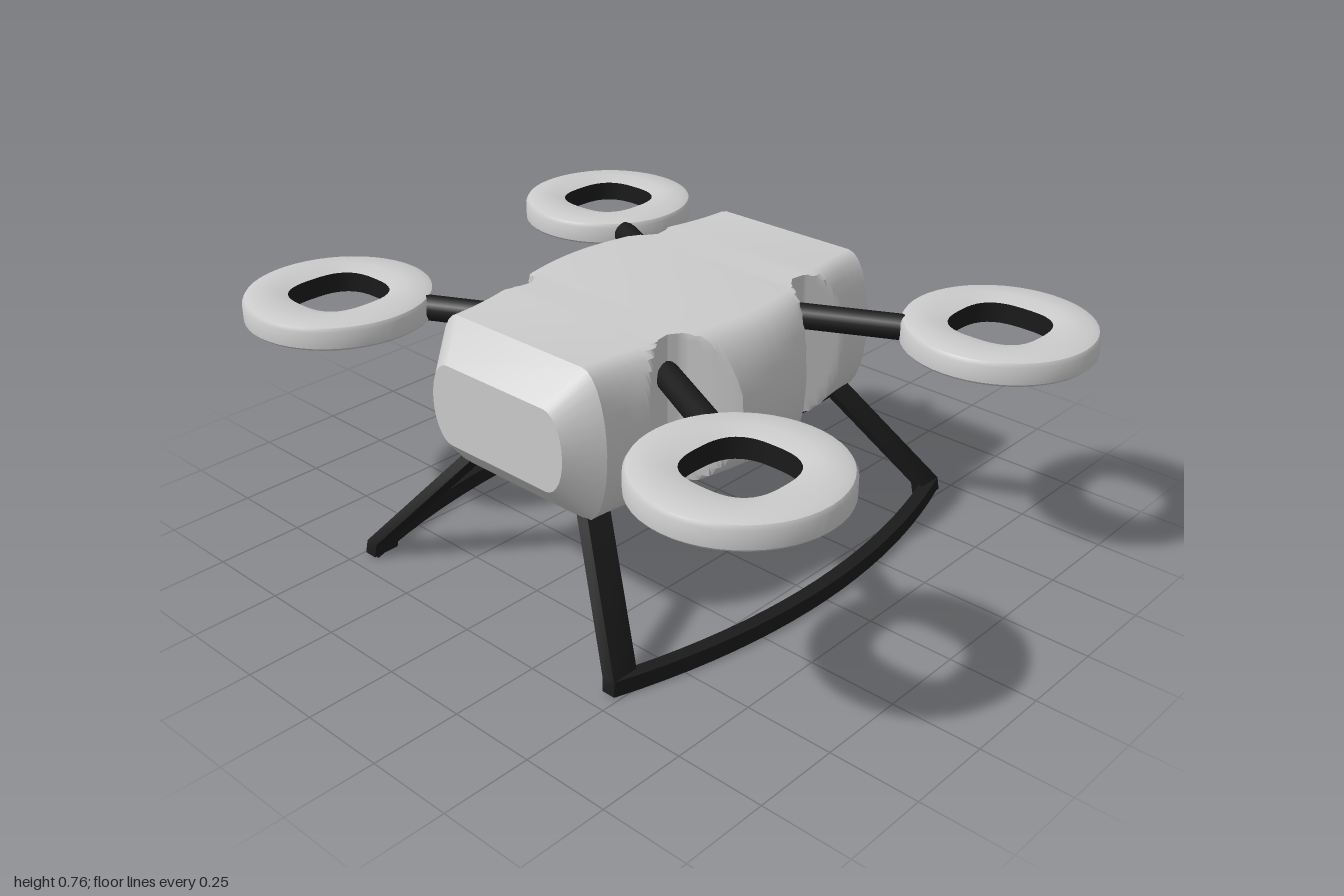
import * as THREE from 'three';
import { toCreasedNormals } from 'three/addons/utils/BufferGeometryUtils.js';

const mat = (color) => new THREE.MeshStandardMaterial({ color, side: THREE.DoubleSide });
const grey = mat(0xcccccc), black = mat(0x1a1a1a), red = mat(0xb5121b);

// Skin a list of cross-sections (each a list of Vector3, counter-clockwise seen from the last one)
function loft(rings, caps = true, crease = 0.6) {
  const pos = [], tri = (...p) => p.forEach((v) => pos.push(v.x, v.y, v.z));
  const n = rings[0].length;
  for (let i = 0; i < rings.length - 1; i++) {
    for (let j = 0; j < n; j++) {
      const k = (j + 1) % n, a = rings[i], b = rings[i + 1];
      tri(a[j], a[k], b[k]);
      tri(a[j], b[k], b[j]);
    }
  }
  if (caps) {
    [rings[0], rings[rings.length - 1]].forEach((r, end) => {
      const c = r.reduce((s, p) => s.add(p), new THREE.Vector3()).divideScalar(n);
      for (let j = 0; j < n; j++) {
        const k = (j + 1) % n;
        if (end) tri(c, r[j], r[k]); else tri(c, r[k], r[j]);
      }
    });
  }
  const g = new THREE.BufferGeometry();
  g.setAttribute('position', new THREE.Float32BufferAttribute(pos, 3));
  return toCreasedNormals(g, crease);
}

const V = (x, y, z) => new THREE.Vector3(x, y, z);

// Horizontal oval at height y
function oval(y, z0, z1, hx, n = 36) {
  return Array.from({ length: n }, (_, i) => {
    const a = (i / n) * Math.PI * 2;
    return V(hx * Math.cos(a), y, (z0 + z1) / 2 - ((z1 - z0) / 2) * Math.sin(a));
  });
}

// Piecewise linear lookup in [[x, y], ...]
function lerpTable(t, x) {
  for (let i = 1; i < t.length; i++) {
    if (x <= t[i][0]) {
      const f = (x - t[i - 1][0]) / (t[i][0] - t[i - 1][0]);
      return t[i - 1][1] + f * (t[i][1] - t[i - 1][1]);
    }
  }
  return 9;
}

// Fuselage: barrel section, pinched where the arms leave it
const WAIST = [[0.12, 0.42], [0.17, 0.35], [0.22, 0.27], [0.25, 0.25], [0.29, 0.255], [0.35, 0.295], [0.41, 0.335]];
function bodySection(z, kx = 1, ky = 1) {
  const az = Math.min(Math.abs(z), 0.53), N = 14, right = [];
  const W = 0.31 + 0.055 * (Math.cos((Math.PI * az) / 0.53) + 1);
  const cut = az > 0.12 ? lerpTable(WAIST, az) : 9;
  for (let j = 0; j <= N; j++) {
    const u = -Math.cos((Math.PI * j) / N);
    const w = Math.min(W * (0.74 + 0.26 * Math.sqrt(Math.max(0, 1 - u * u))), cut);
    right.push(V(w * kx, 0.545 + 0.213 * u * ky, z));
  }
  return [...right, ...right.map((p) => V(-p.x, p.y, p.z)).reverse()];
}
function bodyGeometry() {
  const rings = [bodySection(-0.61, 0.78, 0.54)];
  for (let i = -53; i <= 53; i++) rings.push(bodySection(i / 100));
  rings.push(bodySection(0.617, 0.78, 0.54));
  return loft(rings, true, 0.5);
}

// Rotor guard: round outside, rounded-square hole
function guardRing(t, y) {
  return Array.from({ length: 48 }, (_, i) => {
    const a = (i / 48) * Math.PI * 2, c = Math.cos(a), s = Math.sin(a);
    const inner = 0.127 / Math.pow(Math.abs(c) ** 2.8 + Math.abs(s) ** 2.8, 1 / 2.8);
    const r = inner + (0.265 - inner) * t;
    return V(r * c, y, -r * s);
  });
}

export function createModel() {
  const model = new THREE.Group();
  const add = (name, geo, m, parent = model) => {
    const mesh = new THREE.Mesh(geo, m);
    mesh.name = name;
    parent.add(mesh);
    return mesh;
  };
  // Cylinder along z from z0 (radius r0) to z1 (radius r1)
  const rod = (name, m, x, y, z0, z1, r0, r1 = r0, n = 20) => {
    const g = new THREE.CylinderGeometry(r1, r0, Math.abs(z1 - z0), n);
    g.rotateX(z1 > z0 ? Math.PI / 2 : -Math.PI / 2);
    const mesh = add(name, g, m);
    mesh.position.set(x, y, (z0 + z1) / 2);
    return mesh;
  };

  add('body', bodyGeometry(), grey);

  // Rotor guards and arms
  const shell = [[0, 0.622], [0.95, 0.618], [1, 0.625], [1, 0.672], [0.95, 0.683], [0.8, 0.69], [0.35, 0.692], [0, 0.68]];
  const guardGeo = loft(shell.map(([t, y]) => guardRing(t, y)), false);
  const liningGeo = loft([guardRing(0, 0.68), guardRing(0, 0.622)], false);
  for (const sx of [1, -1]) {
    for (const sz of [1, -1]) {
      const rotor = new THREE.Group();
      rotor.name = 'rotorGuard';
      rotor.position.set(sx * 0.735, 0, sz * 0.535);
      add('guardShell', guardGeo, grey, rotor);
      add('guardLining', liningGeo, black, rotor);
      model.add(rotor);
      const path = new THREE.LineCurve3(V(sx * 0.2, 0.65, sz * 0.23), V(sx * 0.525, 0.65, sz * 0.395));
      add('arm', new THREE.TubeGeometry(path, 1, 0.036, 14), black);
    }
  }

  // Landing gear: bowed skids and slanted struts
  for (const sx of [1, -1]) {
    const skid = [];
    for (let i = -10; i <= 10; i++) {
      const z = i * 0.069, x = sx * (0.585 - 0.118 * (i / 10) ** 2);
      skid.push([V(x - 0.02, 0, z), V(x + 0.02, 0, z), V(x + 0.02, 0.045, z), V(x - 0.02, 0.045, z)]);
    }
    add('skid', loft(skid), black);
    for (const sz of [1, -1]) {
      const rect = (x, y, z) => [V(x - 0.02, y, z + 0.04), V(x + 0.02, y, z + 0.04), V(x + 0.02, y, z - 0.04), V(x - 0.02, y, z - 0.04)];
      add('strut', loft([rect(sx * 0.47, 0.005, sz * 0.66), rect(sx * 0.465, 0.045, sz * 0.655), rect(sx * 0.22, 0.345, sz * 0.495)]), black);
    }
  }

  // Belly plate and turret dome
  add('bellyPlate', loft([oval(0.288, -0.34, 0.36, 0.15), oval(0.335, -0.34, 0.36, 0.15)]), grey);
  add('turretDome', loft([
    oval(0.234, -0.12, 0.16, 0.05), oval(0.245, -0.15, 0.28, 0.068),
    oval(0.266, -0.16, 0.36, 0.075), oval(0.3, -0.16, 0.36, 0.075),
  ]), grey);

  // Wedge mount under the dome
  const wedge = new THREE.Shape([[-0.08, 0.24], [-0.08, 0.175], [-0.06, 0.167], [0.06, 0.21], [0.06, 0.24]].map(([a, b]) => new THREE.Vector2(a, b)));
  const wedgeGeo = new THREE.ExtrudeGeometry(wedge, { depth: 0.08, bevelEnabled: false });
  wedgeGeo.translate(0, 0, -0.04).rotateY(Math.PI / 2);
  add('turretMount', wedgeGeo, grey);

  // Rear boom: thin rod and thick tapered canister
  rod('boomRod', black, 0, 0.185, 0.02, -0.36, 0.016);
  const profile = [[0, 0], [0.06, 0], [0.062, 0.01], [0.05, 0.43], [0.042, 0.45], [0, 0.455]];
  const canGeo = toCreasedNormals(new THREE.LatheGeometry(profile.map(([r, h]) => new THREE.Vector2(r, h)), 24), 0.6);
  canGeo.rotateX(-Math.PI / 2).scale(1.2, 1, 1);
  add('boomCanister', canGeo, black).position.set(0, 0.186, -0.348);

  // Rear lamps
  rod('mainLamp', red, -0.04, 0.595, -0.59, -0.68, 0.024);
  rod('sideLamp', red, -0.115, 0.595, -0.59, -0.632, 0.016);
  rod('lowerLamp', red, -0.04, 0.505, -0.59, -0.632, 0.016);

  return model;
}
